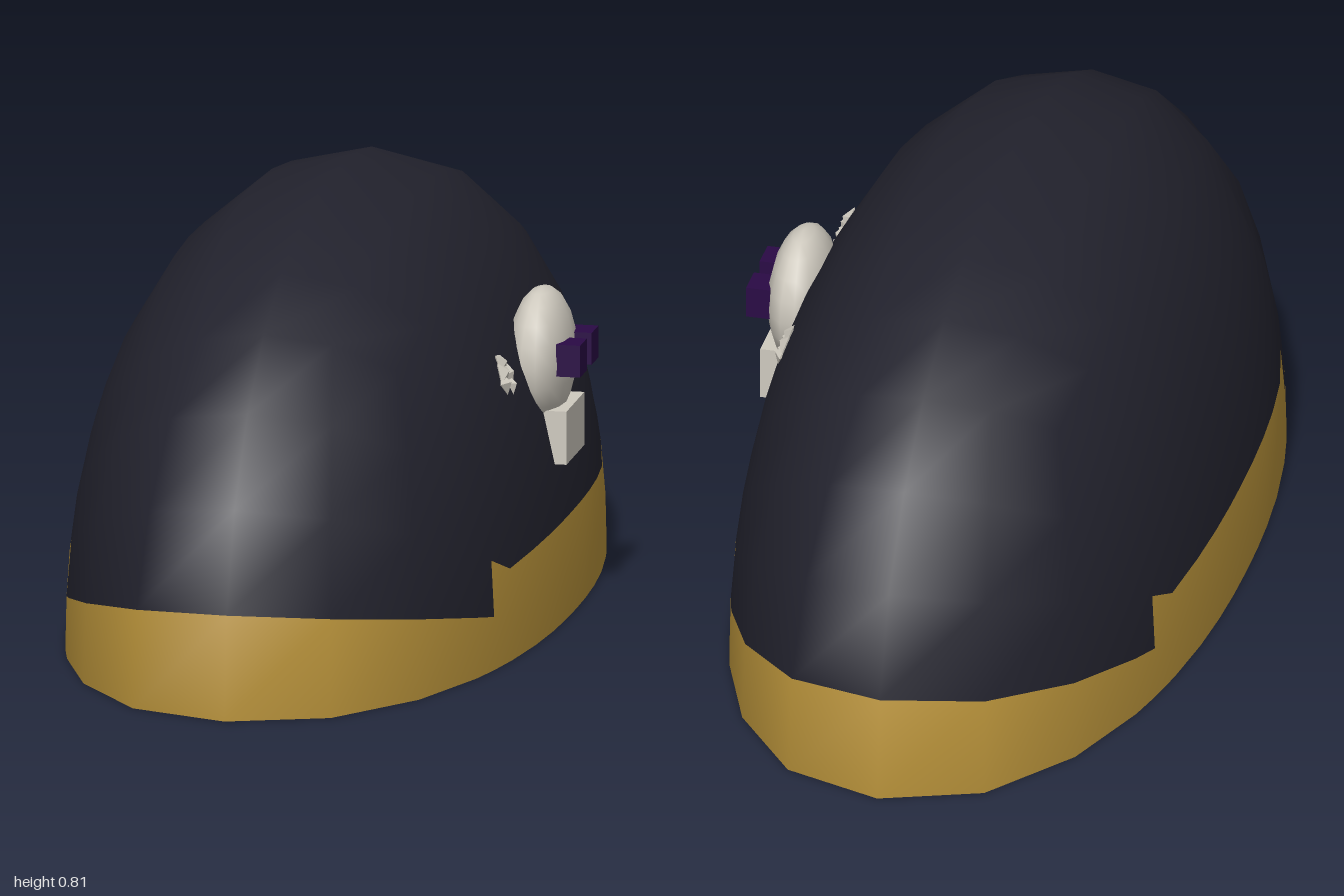
import * as THREE from 'three';

const mat = (name, color, extra = {}) => {
  const m = new THREE.MeshStandardMaterial({ color, ...extra });
  m.name = name;
  return m;
};

const RADII = [0.45, 0.805, 1.0], POWER = 2.2, OFFSET = -0.013;
const rad = THREE.MathUtils.degToRad;

// Push a direction out to the rounded dome surface
function onDome(dir) {
  const sum = dir.reduce((s, d, i) => s + Math.abs(d / RADII[i]) ** POWER, 0);
  return dir.map((d) => d * sum ** (-1 / POWER));
}
function domeNormal(p) {
  const n = p.map((v, i) => Math.sign(v) * Math.abs(v / RADII[i]) ** (POWER - 1) / RADII[i]);
  const len = Math.hypot(...n);
  return n.map((v) => v / len);
}

// Angular grid lines, in degrees
const EVEN = [-45, -33.75, -22.5, -11.25, 0, 11.25, 22.5, 33.75, 45];
const CUT = [...EVEN, -38.8, 38.8].sort((a, b) => a - b);
const UP = EVEN.filter((a) => a >= 0);

function buildDome() {
  const parts = { felt: { pos: [], nor: [] }, trim: { pos: [], nor: [] } };
  // One patch of a spherified cube; isTrim chooses the colour of each cell
  const patch = (us, vs, toDir, isTrim) => {
    const at = (u, v) => onDome(toDir(Math.tan(rad(u)), Math.tan(rad(v))));
    for (let i = 0; i < us.length - 1; i++) {
      for (let j = 0; j < vs.length - 1; j++) {
        const out = parts[isTrim((us[i] + us[i + 1]) / 2, vs[j]) ? 'trim' : 'felt'];
        const a = at(us[i], vs[j]), b = at(us[i + 1], vs[j]);
        const c = at(us[i + 1], vs[j + 1]), d = at(us[i], vs[j + 1]);
        for (const p of [a, b, c, a, c, d]) {
          out.pos.push(...p);
          out.nor.push(...domeNormal(p));
        }
      }
    }
  };
  for (const s of [1, -1]) {
    // Ends: low band, rising near the corners
    patch(CUT, UP, (u, v) => [s * u, v, s], (u, v) => v < 11 || (v < 22 && Math.abs(u) > 38.8));
    // Flanks: taller band
    patch(EVEN, UP, (u, v) => [s, v, -s * u], (u, v) => v < 22);
  }
  patch(CUT, EVEN, (u, v) => [u, 1, -v], () => false);

  const toGeometry = ({ pos, nor }) => {
    const g = new THREE.BufferGeometry();
    g.setAttribute('position', new THREE.Float32BufferAttribute(pos, 3));
    g.setAttribute('normal', new THREE.Float32BufferAttribute(nor, 3));
    return g;
  };
  return { felt: toGeometry(parts.felt), trim: toGeometry(parts.trim) };
}

// Flat floor closing the dome
function buildFloor() {
  const outline = [];
  const add = (x, z) => {
    const p = onDome([x, 0, z]);
    outline.push(new THREE.Vector2(p[0], p[2]));
  };
  const t = (a) => Math.tan(rad(a));
  CUT.slice(0, -1).forEach((a) => add(t(a), 1));
  EVEN.slice(0, -1).forEach((a) => add(1, -t(a)));
  CUT.slice(0, -1).forEach((a) => add(-t(a), -1));
  EVEN.slice(0, -1).forEach((a) => add(-1, t(a)));
  return new THREE.ShapeGeometry(new THREE.Shape(outline)).rotateX(Math.PI / 2);
}

export function createModel() {
  const felt = mat('dark felt', 0x22222d);
  const gold = mat('gold trim', 0xb8923a);
  const bone = mat('bone', 0xcfcabf);
  const boneFaceted = bone;
  const purple = mat('deep purple', 0x2a0a45);

  const model = new THREE.Group();
  model.name = 'hat';
  const add = (name, geometry, material, x, y, z, parent = model) => {
    const mesh = new THREE.Mesh(geometry, material);
    mesh.name = name;
    mesh.position.set(x, y, z);
    parent.add(mesh);
    return mesh;
  };

  // Hat body
  const dome = buildDome();
  add('crown', dome.felt, felt, OFFSET, 0, 0);
  add('trimBand', dome.trim, gold, OFFSET, 0, 0);
  add('underside', buildFloor(), purple, OFFSET, 0, 0);

  // Skull emblem on the left flank
  const emblem = new THREE.Group();
  emblem.name = 'skullEmblem';
  model.add(emblem);
  const skull = new THREE.SphereGeometry(1, 14, 10).scale(0.061, 0.13, 0.13);
  add('skull', skull, bone, 0.373, 0.475, 0, emblem);
  add('jaw', new THREE.BoxGeometry(0.075, 0.1, 0.16), bone, 0.398, 0.34, 0, emblem);
  for (const s of [1, -1]) {
    add('eye', new THREE.BoxGeometry(0.045, 0.06, 0.06), purple, 0.439, 0.486, s * 0.052, emblem);

    // Bone ends: small faceted knobs around a crossed centre
    const boneEnd = new THREE.Group();
    boneEnd.name = 'boneEnd';
    boneEnd.position.set(0.35, 0.488, s * 0.225);
    boneEnd.rotation.z = 0.33;
    emblem.add(boneEnd);
    const knob = new THREE.OctahedronGeometry(1);
    const knobs = [[0.022, 0, 0.03], [0, 0.025, 0.024], [-0.018, -0.012, 0.026], [-0.008, 0.008, 0.03], [0.014, -0.022, 0.022]];
    knobs.forEach(([z, y, r], i) => {
      const k = add('knob', knob, boneFaceted, 0, y, -s * z, boneEnd);
      k.scale.set(0.014, r, r * 0.8);
      k.rotation.x = s * i * 0.7;
    });
  }
  return model;
}
